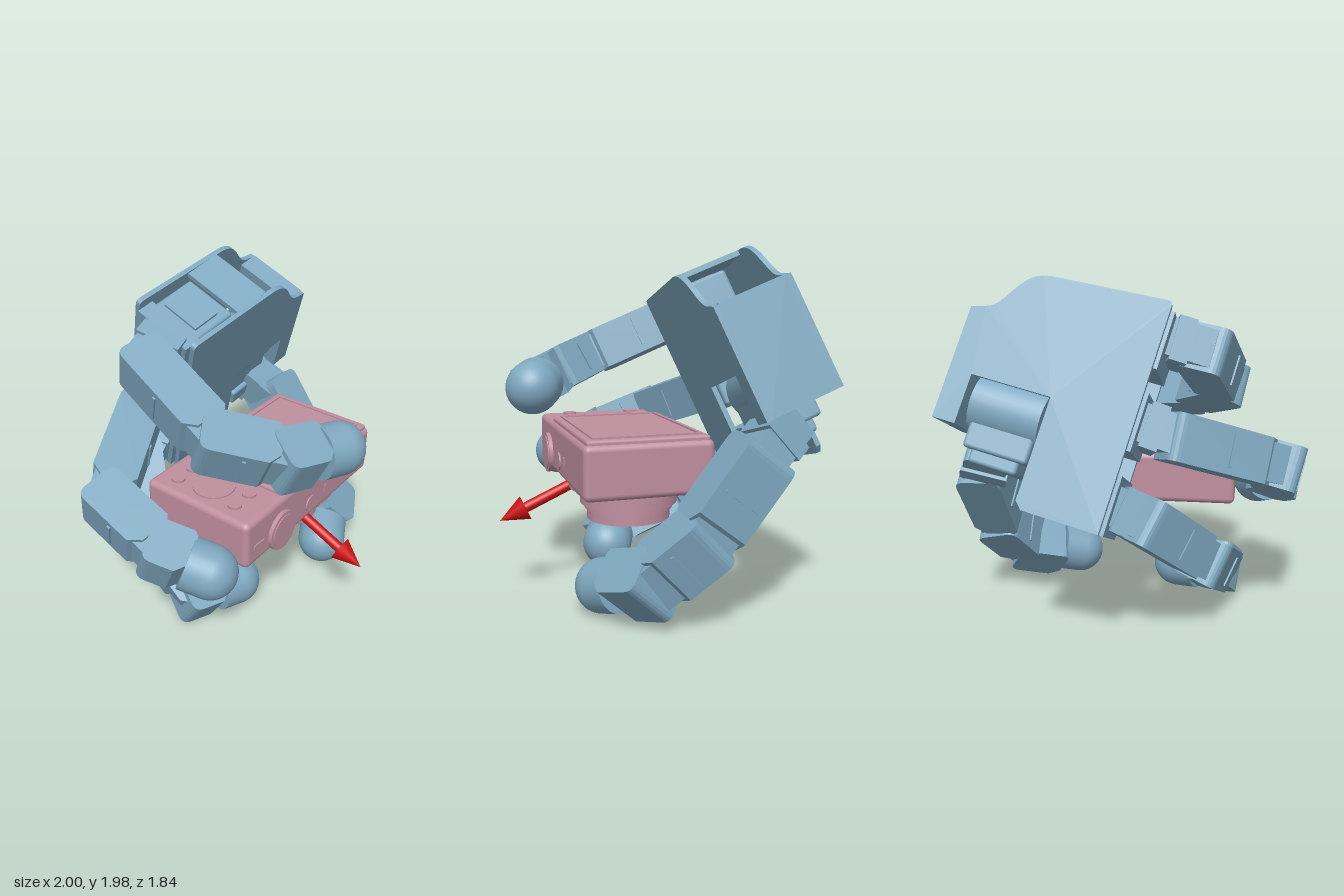
import * as THREE from 'three';
import { RoundedBoxGeometry } from 'three/addons/geometries/RoundedBoxGeometry.js';

const V = (x, y, z) => new THREE.Vector3(x, y, z);
const blue = new THREE.MeshStandardMaterial({ color: 0x7fa8c0 });
const pink = new THREE.MeshStandardMaterial({ color: 0xc08f9f });
const red = new THREE.MeshStandardMaterial({ color: 0xcc1010 });
const lensMat = pink.clone();
lensMat.side = THREE.DoubleSide;

// palm axes: U towards the wrist, UP across the fingers, N out of the palm
const U = V(0.966, 0.236, 0.096), UP = V(-0.255, 0.895, 0.362), N = V(0, -0.375, 0.927);
const ORIGIN = V(-0.22, 1.87, -0.463);

function add(parent, name, geo, mat, x = 0, y = 0, z = 0) {
  const m = new THREE.Mesh(geo, mat);
  m.name = name;
  m.position.set(x, y, z);
  parent.add(m);
  return m;
}
const box = (w, h, d) => new THREE.BoxGeometry(w, h, d);

// box given by its ranges on each axis
function block(parent, name, [x0, x1], [y0, y1], [z0, z1], r = 0) {
  const s = [x1 - x0, y1 - y0, z1 - z0];
  return add(parent, name, r ? new RoundedBoxGeometry(...s, 2, r) : box(...s), blue,
    (x0 + x1) / 2, (y0 + y1) / 2, (z0 + z1) / 2);
}

// group at p whose y axis runs along dir and whose z axis is the hinge
function frame(parent, name, p, dir, axis) {
  const g = new THREE.Group(), y = dir.clone().normalize();
  const z = axis.clone().addScaledVector(y, -axis.dot(y)).normalize();
  g.name = name;
  g.quaternion.setFromRotationMatrix(new THREE.Matrix4().makeBasis(y.clone().cross(z), y, z));
  g.position.copy(p);
  parent.add(g);
  return g;
}

// side profile with rounded start and chamfered end, extruded across the width
function shell(y0, y1, half, cut, width) {
  const s = new THREE.Shape();
  s.moveTo(-half + cut, y0);
  s.lineTo(half - cut, y0);
  s.quadraticCurveTo(half, y0, half, y0 + cut);
  s.lineTo(half, y1 - cut);
  s.lineTo(half - cut, y1);
  s.lineTo(-half + cut * 0.4, y1);
  s.lineTo(-half, y1 - cut * 0.4);
  s.lineTo(-half, y0 + cut);
  s.quadraticCurveTo(-half, y0, -half + cut, y0);
  return new THREE.ExtrudeGeometry(s, { depth: width, bevelEnabled: false, curveSegments: 5 })
    .translate(0, 0, -width / 2);
}

function link(parent, name, a, b, axis, width) {
  const g = frame(parent, name, a, b.clone().sub(a), axis), L = a.distanceTo(b);
  add(g, name + 'Body', shell(-0.1, L - 0.08, 0.13, 0.06, width), blue);
  add(g, name + 'Neck', shell(L - 0.2, L + 0.08, 0.11, 0.07, width - 0.04), blue);
  for (const s of [-1, 1])
    add(g, name + 'Rib', box(0.02, 0.02, width * 0.7), blue, s * 0.13, L / 2 - 0.06, 0);
}

function finger(parent, name, [base, j1, j2, j3, tip], axis, width) {
  const g = new THREE.Group();
  g.name = name;
  parent.add(g);
  const hub = frame(g, 'knuckle', base, j1.clone().sub(base), axis), d = base.distanceTo(j1);
  add(hub, 'knuckleBody', shell(-0.06, d + 0.07, 0.12, 0.05, 0.21), blue);
  add(hub, 'knuckleCollar', box(0.26, 0.1, 0.25), blue, 0, d * 0.35, 0);
  link(g, 'proximalLink', j1, j2, axis, width);
  link(g, 'middleLink', j2, j3, axis, width);
  const end = frame(g, 'fingertip', j3, tip.clone().sub(j3), axis), L = j3.distanceTo(tip);
  add(end, 'tipMount', shell(-0.1, L - 0.13, 0.13, 0.06, width), blue);
  add(end, 'tipCollar', new THREE.CylinderGeometry(0.152, 0.152, 0.14, 32), blue, 0, L - 0.07, 0);
  add(end, 'tipPad', new THREE.SphereGeometry(0.152, 32, 20), blue, 0, L, 0);
}

function palm(parent) {
  const g = new THREE.Group();
  g.name = 'palm';
  g.quaternion.setFromRotationMatrix(new THREE.Matrix4().makeBasis(U, UP, N));
  g.position.copy(ORIGIN);
  parent.add(g);
  // outline shared by both cover plates
  const s = new THREE.Shape();
  s.moveTo(-0.03, -0.03);
  s.quadraticCurveTo(-0.03, 0, 0, 0);
  s.lineTo(0.64, -0.035);
  s.bezierCurveTo(0.82, -0.05, 0.82, -0.26, 0.93, -0.285);
  s.lineTo(1.01, -0.307);
  s.lineTo(1.01, -0.935);
  s.lineTo(0.88, -0.935);
  s.lineTo(0.88, -0.66);
  s.lineTo(0.43, -0.66);
  s.lineTo(0.43, -1.22);
  s.lineTo(0.39, -1.26);
  s.lineTo(-0.03, -1.26);
  for (const [n, z] of [['backPlate', 0], ['palmPlate', 0.423]])
    add(g, n, new THREE.ExtrudeGeometry(s, { depth: 0.03, bevelEnabled: false, curveSegments: 12 }), blue, 0, 0, z);
  block(g, 'wristWall', [0.88, 1.01], [-0.935, -0.3], [0.03, 0.423]);
  block(g, 'topCover', [0.36, 0.6], [-0.06, -0.03], [0.03, 0.423]);
  // one motor housing behind each finger
  for (const y of [-0.2, -0.65, -1.1]) {
    block(g, 'fingerMotor', [0, 0.36], [y - 0.14, y + 0.14], [0.05, 0.39], 0.02);
    block(g, 'motorBracket', [-0.05, 0.06], [y - 0.16, y + 0.16], [0.04, 0.41]);
    block(g, 'motorCap', [0.1, 0.28], [y - 0.155, y + 0.155], [0.1, 0.34]);
  }
  // thumb drive in the notch of the plates
  const drum = add(g, 'thumbMotor', new THREE.CylinderGeometry(0.18, 0.18, 0.4, 32), blue, 0.66, -0.77, 0.22);
  drum.rotation.z = Math.PI / 2;
  block(g, 'thumbMount', [0.47, 0.84], [-1.03, -0.77], [0.09, 0.39], 0.02);
  block(g, 'thumbBracket', [0.52, 0.8], [-1.1, -0.98], [0.13, 0.42], 0.02);
}

function camera(parent) {
  const g = new THREE.Group();
  g.name = 'camera';
  parent.add(g);
  const disc = (name, r, h, x, y, z, forward) => {
    const m = add(g, name, new THREE.CylinderGeometry(r, r, h, 40), pink, x, y, z);
    if (forward) m.rotation.x = Math.PI / 2;
  };
  add(g, 'cameraBody', new RoundedBoxGeometry(1.28, 0.295, 0.71, 3, 0.035), pink, 0.055, 0.828, 0.214);
  add(g, 'screenPanel', new RoundedBoxGeometry(0.92, 0.05, 0.67, 2, 0.015), pink, 0.215, 0.973, 0.215);
  // raised rim around the screen
  for (const s of [-1, 1]) {
    add(g, 'screenRim', box(0.83, 0.014, 0.015), pink, 0.22, 1.0, 0.215 + s * 0.29);
    add(g, 'screenRim', box(0.015, 0.014, 0.58), pink, 0.22 + s * 0.41, 1.0, 0.215);
  }
  disc('controlWheel', 0.12, 0.02, -0.4, 0.975, 0.2);
  for (const [x, z] of [[-0.47, 0], [-0.34, 0], [-0.47, 0.4], [-0.34, 0.4]]) disc('button', 0.04, 0.024, x, 0.978, z);
  disc('modeDial', 0.12, 0.04, -0.27, 0.775, 0.572, true);
  disc('modeDialCap', 0.1, 0.05, -0.27, 0.775, 0.573, true);
  disc('shutterButton', 0.052, 0.02, 0.035, 0.775, 0.568, true);
  add(g, 'powerSwitch', box(0.09, 0.025, 0.02), pink, -0.475, 0.8, 0.566);
  add(g, 'indicator', box(0.018, 0.05, 0.02), pink, 0.185, 0.8, 0.566);
  // stepped lens barrel with a recessed opening
  const p = [[0.001, 0.51], [0.1, 0.51], [0.1, 0.48], [0.235, 0.48], [0.235, 0.54], [0.25, 0.54], [0.25, 0.57],
    [0.275, 0.57], [0.275, 0.63], [0.3, 0.63], [0.3, 0.66], [0.335, 0.66], [0.335, 0.69]];
  // doubled points keep the steps sharp
  const profile = p.flatMap(([r, y]) => [new THREE.Vector2(r, y), new THREE.Vector2(r, y)]).slice(1, -1);
  add(g, 'lens', new THREE.LatheGeometry(profile, 48), lensMat, 0.25, 0, 0.215);
  // bars leave a square opening
  for (let i = 0; i < 4; i++) {
    const a = i * Math.PI / 2 + Math.PI / 4;
    const bar = add(g, 'lensShutter', box(0.04, 0.02, 0.16), pink, 0.25 + 0.08 * Math.cos(a), 0.492, 0.215 + 0.08 * Math.sin(a));
    bar.rotation.y = -a;
  }
}

function arrow(parent) {
  const tip = V(0.06, 0.455, 0.92), tail = V(0.06, 0.75, 0.27), L = tip.distanceTo(tail);
  const g = frame(parent, 'arrow', tail, tip.clone().sub(tail), V(1, 0, 0));
  add(g, 'arrowShaft', new THREE.CylinderGeometry(0.03, 0.03, L - 0.15, 24), red, 0, (L - 0.15) / 2, 0);
  add(g, 'arrowHead', new THREE.ConeGeometry(0.073, 0.16, 32), red, 0, L - 0.08, 0);
}

export function createModel() {
  const root = new THREE.Group();
  root.name = 'robotHandWithCamera';
  palm(root);
  camera(root);
  arrow(root);
  // knuckle base, three joints and tip centre of each finger
  finger(root, 'upperFinger', [V(-0.19, 1.65, -0.3), V(-0.41, 1.58, -0.26), V(-0.49, 1.34, 0.29),
    V(-0.25, 1.24, 0.6), V(0.04, 1.21, 0.715)], UP, 0.26);
  finger(root, 'middleFinger', [V(-0.06, 1.22, -0.49), V(-0.3, 1.13, -0.46), V(-0.83, 0.94, -0.2),
    V(-0.84, 0.79, 0.2), V(-0.72, 0.7, 0.43)], UP, 0.26);
  finger(root, 'lowerFinger', [V(0.06, 0.81, -0.66), V(-0.14, 0.7, -0.61), V(-0.43, 0.39, -0.28),
    V(-0.5, 0.2, 0.12), V(-0.23, 0.18, 0.22)], V(-0.4, 0.8, 0.4), 0.26);
  finger(root, 'thumb', [V(0.76, 1.04, -0.5), V(0.86, 0.86, -0.28), V(0.85, 0.47, 0.02),
    V(0.76, 0.25, 0.26), V(0.46, 0.16, 0.42)], V(0, -0.6, -0.8), 0.31);
  return root;
}
